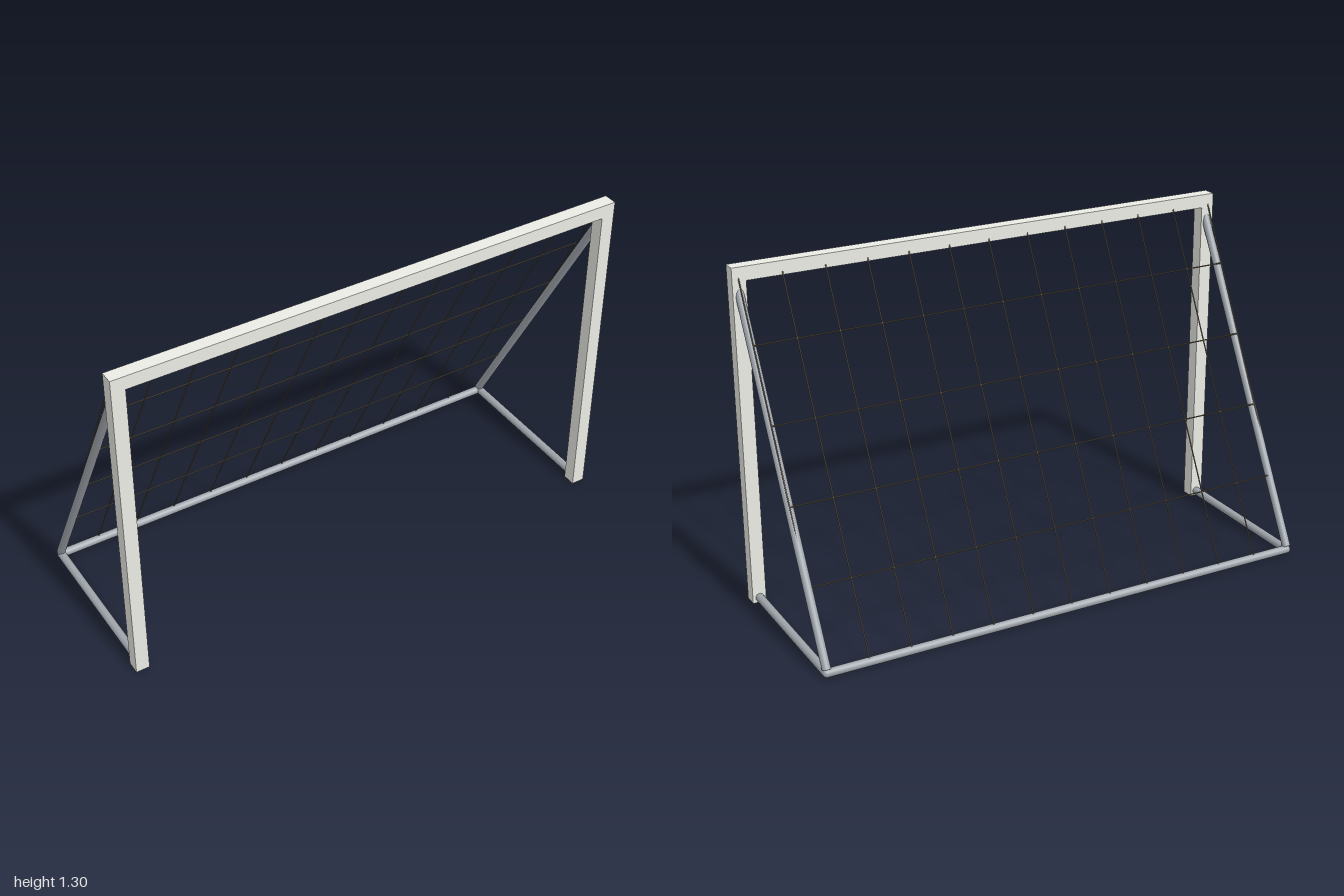
import * as THREE from 'three';

const frameMat = new THREE.MeshStandardMaterial({ color: 0xecece6 });
const pipeMat = new THREE.MeshStandardMaterial({ color: 0xa0a6ad });
const netMat = new THREE.MeshStandardMaterial({ color: 0x75684f });

// Straight round bar between two points
function rod(name, a, b, radius, sides, material) {
  const start = new THREE.Vector3(...a);
  const dir = new THREE.Vector3(...b).sub(start);
  const mesh = new THREE.Mesh(new THREE.CylinderGeometry(radius, radius, dir.length(), sides), material);
  mesh.name = name;
  mesh.position.copy(start).addScaledVector(dir, 0.5);
  mesh.quaternion.setFromUnitVectors(new THREE.Vector3(0, 1, 0), dir.normalize());
  return mesh;
}

export function createModel() {
  const goal = new THREE.Group();
  goal.name = 'goal';

  // Square-section posts and crossbar in one piece
  const inner = 0.948, under = 1.248;
  const outline = [[-1, 0], [-inner, 0], [-inner, under], [inner, under], [inner, 0], [1, 0], [1, 1.3], [-1, 1.3]];
  const shape = new THREE.Shape(outline.map(([x, y]) => new THREE.Vector2(x, y)));
  const frame = new THREE.Mesh(new THREE.ExtrudeGeometry(shape, { depth: 0.052, bevelEnabled: false }), frameMat);
  frame.name = 'frontFrame';
  frame.position.z = 0.296;
  goal.add(frame);

  // Round support pipes: ground bars, sloping stays and rear bar
  const r = 0.016, px = 0.973, py = 0.02, backZ = -0.332;
  for (const side of [-1, 1]) {
    const x = side * px;
    const label = side > 0 ? 'left' : 'right';
    goal.add(rod(label + 'GroundBar', [x, py, 0.31], [x, py, backZ], r, 20, pipeMat));
    goal.add(rod(label + 'Stay', [x, 1.213, 0.31], [x, py + 0.012, backZ], r, 20, pipeMat));
    const elbow = new THREE.Mesh(new THREE.SphereGeometry(r, 20, 12), pipeMat);
    elbow.name = label + 'Elbow';
    elbow.position.set(x, py, backZ);
    goal.add(elbow);
  }
  goal.add(rod('rearBar', [-px, py, backZ], [px, py, backZ], r, 20, pipeMat));

  // Net stretched from the crossbar down to the rear bar
  const net = new THREE.Group();
  net.name = 'net';
  const cols = 12, rows = 5, nr = 0.0025, half = 0.976;
  const at = (x, t) => [x, 0.035 + t * 1.265, -0.334 + t * 0.652];
  for (let i = 0; i <= cols; i++) {
    const x = -half + (2 * half * i) / cols;
    net.add(rod('netUpright', at(x, 0), at(x, 0.99), nr, 6, netMat));
  }
  for (let j = 1; j < rows; j++) {
    net.add(rod('netCrossStrand', at(-half, j / rows), at(half, j / rows), nr, 6, netMat));
  }
  goal.add(net);
  return goal;
}
